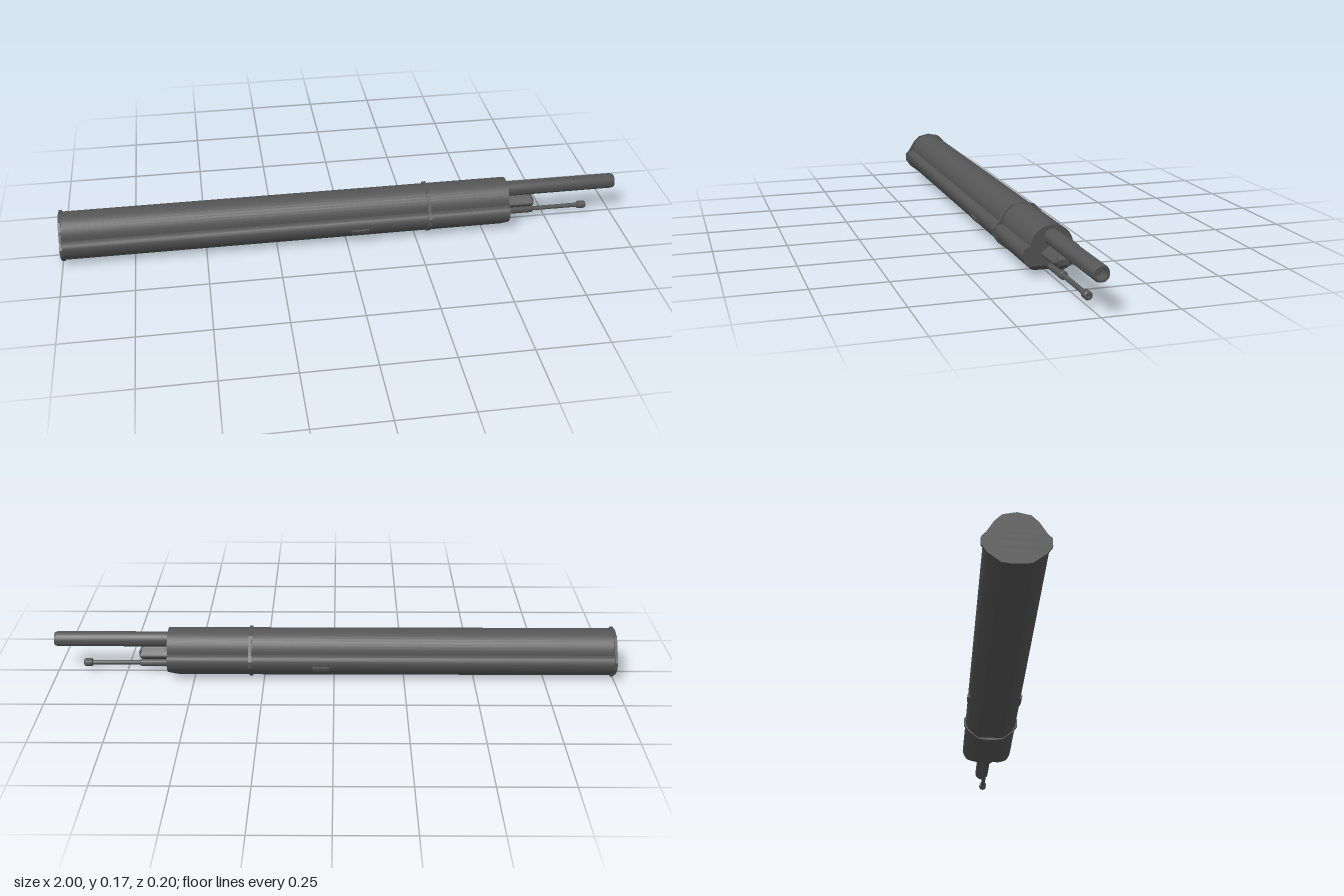
import * as THREE from 'three';
import { toCreasedNormals } from 'three/addons/utils/BufferGeometryUtils.js';

// Prism along x from a mirrored half section of [z, y], listed top to bottom.
// frontX(y) gives the front end, so the nose can be raked.
function prism(half, x0, frontX, crease = 0.6) {
  const ring = [...half, ...half.slice().reverse().map(([z, y]) => [-z, y])];
  const pos = [];
  const back = ([z, y]) => [x0, y, z];
  const front = ([z, y]) => [frontX(y), y, z];
  const quad = (a, b, c, d) => pos.push(...a, ...b, ...c, ...a, ...c, ...d);
  ring.forEach((p, i) => {
    const q = ring[(i + 1) % ring.length];
    quad(back(p), back(q), front(q), front(p));
  });
  for (let i = 0; i < half.length - 1; i++) {
    const a = half[i], b = half[i + 1], c = [-b[0], b[1]], d = [-a[0], a[1]];
    quad(front(a), front(b), front(c), front(d));
    quad(back(d), back(c), back(b), back(a));
  }
  const g = new THREE.BufferGeometry();
  g.setAttribute('position', new THREE.Float32BufferAttribute(pos, 3));
  return toCreasedNormals(g, crease);
}

// Turned part along x from [radius, x] points
function turned(points, y, segments = 24) {
  const g = new THREE.LatheGeometry(points.map(([r, x]) => new THREE.Vector2(r, x)), segments);
  g.rotateZ(-Math.PI / 2);
  g.translate(0, y, 0);
  return toCreasedNormals(g, 0.6);
}

export function createModel() {
  const model = new THREE.Group();
  const metal = new THREE.MeshStandardMaterial({ color: 0x555556 });
  metal.name = 'dark gunmetal';
  const add = (name, geometry) => {
    const mesh = new THREE.Mesh(geometry, metal);
    mesh.name = name;
    model.add(mesh);
    return mesh;
  };

  // Casing: domed top over a wider, rounded lower half
  const section = [];
  for (let i = 0; i <= 10; i++) {
    const a = (i / 10) * Math.PI / 2;
    section.push([0.07 * Math.sin(a), 0.1 + 0.067 * Math.cos(a)]);
  }
  section.push([0.082, 0.099], [0.09, 0.094], [0.095, 0.085], [0.096, 0.073],
    [0.092, 0.058], [0.084, 0.043], [0.078, 0.036], [0.062, 0.02], [0.045, 0.009], [0, 0.009]);
  add('casing', prism(section, -0.995, y => 0.592 - Math.max(0, 0.036 - y) * 1.7));

  // Faceted rear rim and clamp band
  const rim = [[0, 0.17], [0.042, 0.161], [0.065, 0.138], [0.087, 0.102], [0.102, 0.086],
    [0.102, 0.06], [0.084, 0.034], [0.045, 0.004], [0.02, 0], [0, 0]];
  add('rearRim', prism(rim, -1, () => -0.991, 0.2));
  add('clampBand', prism(rim, 0.291, () => 0.303, 0.2));

  // Main barrel with a recessed bore
  add('mainBarrel', turned([[0, 0.55], [0.027, 0.55], [0.027, 0.99], [0.024, 1],
    [0.018, 1], [0.018, 0.96], [0, 0.96]], 0.128));

  // Central housing with side lobes
  const lobes = [[0.012, 0.097], [0.018, 0.092], [0.032, 0.082], [0.035, 0.075],
    [0.032, 0.068], [0.018, 0.057], [0.012, 0.052]];
  add('sideLobes', prism(lobes, 0.54, y => 0.695 - Math.abs(y - 0.075) * 0.4));
  const core = [];
  for (let i = 0; i <= 10; i++) {
    const a = (i / 10) * Math.PI;
    core.push([0.018 * Math.sin(a), 0.075 + 0.028 * Math.cos(a)]);
  }
  add('housingCore', prism(core, 0.54, y => 0.7 - Math.max(0, Math.abs(y - 0.075) - 0.012) * 1.2));

  // Slim lower barrel with sleeve and muzzle collar
  add('lowerBarrel', turned([[0, 0.53], [0.014, 0.53], [0.014, 0.697], [0.011, 0.702],
    [0.008, 0.702], [0.008, 0.872], [0.014, 0.875], [0.014, 0.9], [0.011, 0.904],
    [0.007, 0.904], [0.007, 0.89], [0, 0.89]], 0.033, 16));

  // Small plates on both flanks
  for (const side of [-1, 1]) {
    const plate = add(side > 0 ? 'frontFlankPlate' : 'backFlankPlate',
      new THREE.BoxGeometry(0.06, 0.015, 0.012));
    plate.position.set(0.046, 0.057, side * 0.091);
    plate.rotation.x = side * 0.35;
  }
  return model;
}
